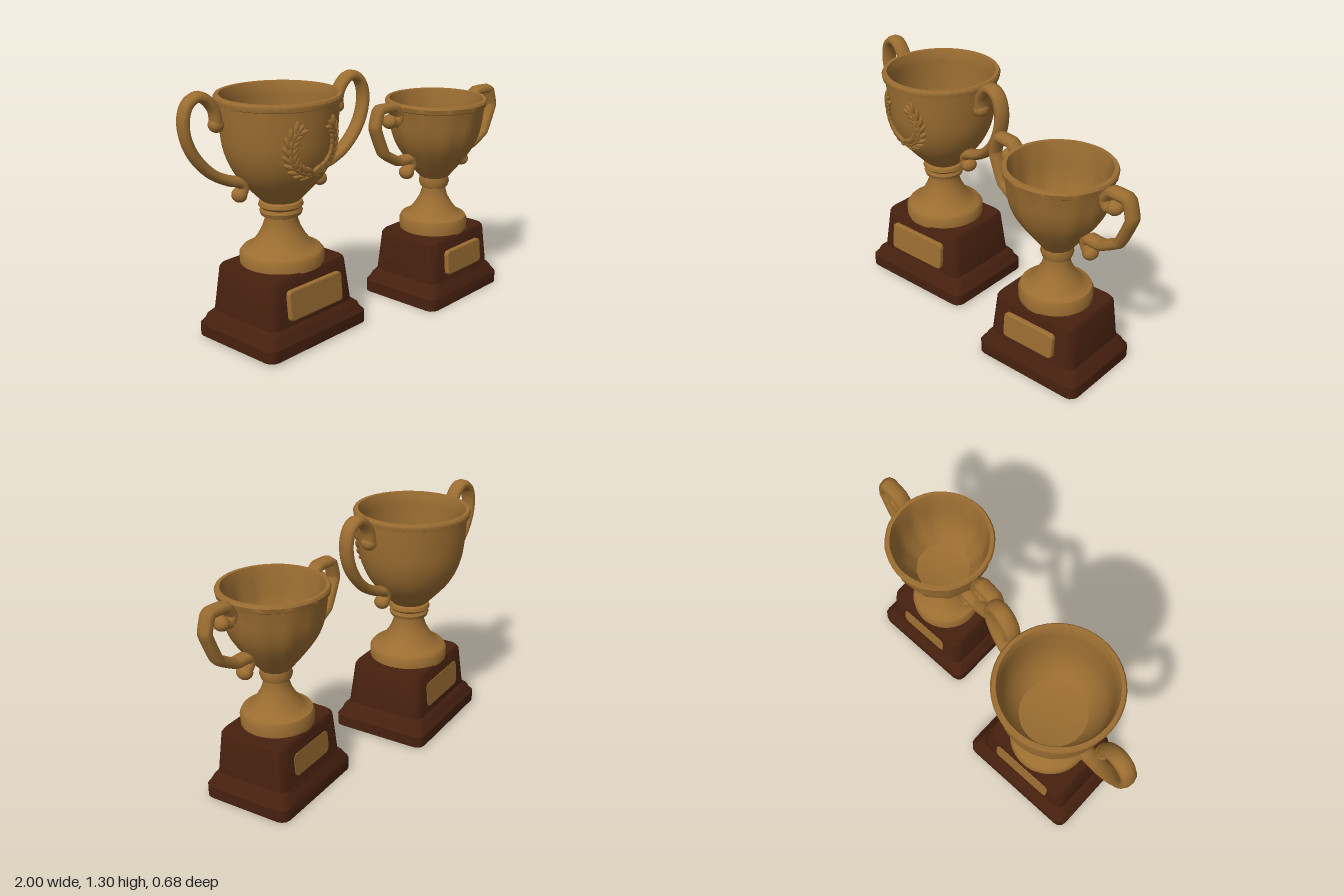
import * as THREE from 'three';
import { toCreasedNormals } from 'three/addons/utils/BufferGeometryUtils.js';

const gold = new THREE.MeshStandardMaterial({ color: 0x9b6d31, side: THREE.DoubleSide });
gold.name = 'antique gold';
const wood = new THREE.MeshStandardMaterial({ color: 0x46200f });
wood.name = 'dark wood';

function add(parent, name, geometry, material = gold) {
  const mesh = new THREE.Mesh(geometry, material);
  mesh.name = name;
  parent.add(mesh);
  return mesh;
}

const vec2 = (list) => list.map(([x, y]) => new THREE.Vector2(x, y));
const lathe = (list) => toCreasedNormals(new THREE.LatheGeometry(vec2(list), 40), 0.7);

// Outer bowl radius at a height, read from a smooth curve
function radiusAt(points, y) {
  let i = 0;
  while (i < points.length - 2 && points[i + 1].y < y) i++;
  const a = points[i], b = points[i + 1];
  return THREE.MathUtils.lerp(a.x, b.x, (y - a.y) / (b.y - a.y));
}

// Hollow bowl with a lip; panels > 0 gives it a many-sided outline
function bowlGeometry(outer, rim, floor, panels) {
  const [r, y] = rim;
  const lip = vec2([[r, y - 0.035], [r + 0.004, y - 0.012], [r - 0.003, y], [r - 0.022, y]]);
  const inner = outer.filter((p) => p.y > floor + 0.02).reverse()
    .map((p) => new THREE.Vector2(p.x - 0.022, p.y));
  const geo = new THREE.LatheGeometry([...outer, ...lip, ...inner, new THREE.Vector2(0.001, floor)], 48);
  if (panels) {
    const pos = geo.attributes.position, step = (2 * Math.PI) / panels;
    for (let i = 0; i < pos.count; i++) {
      const x = pos.getX(i), z = pos.getZ(i), a = Math.atan2(x, z) + 2 * Math.PI;
      const flat = Math.cos(step / 2) / Math.cos((a % step) - step / 2);
      const fade = THREE.MathUtils.clamp((y - pos.getY(i)) / 0.1, 0.15, 1);
      const k = 1 + (flat - 1) * fade;
      pos.setX(i, x * k);
      pos.setZ(i, z * k);
    }
  }
  return toCreasedNormals(geo, 0.7);
}

// Plinth lofted from rounded rectangles given as [y, width, depth]
function plinthGeometry(rings, corner = 0.045) {
  const positions = [], index = [], n = 16;
  for (const [y, w, d] of rings) {
    for (let q = 0; q < 4; q++) {
      for (let s = 0; s < 4; s++) {
        const a = ((q + s / 3) * Math.PI) / 2;
        const sx = q === 0 || q === 3 ? 1 : -1, sz = q < 2 ? 1 : -1;
        positions.push(sx * (w / 2 - corner) + Math.cos(a) * corner, y,
          sz * (d / 2 - corner) + Math.sin(a) * corner);
      }
    }
  }
  for (let k = 0; k < rings.length - 1; k++) {
    for (let i = 0; i < n; i++) {
      const a = k * n + i, b = k * n + ((i + 1) % n);
      index.push(a, a + n, b, b, a + n, b + n);
    }
  }
  const top = (rings.length - 1) * n;
  for (let i = 1; i < n - 1; i++) index.push(0, i, i + 1, top, top + i + 1, top + i);
  const geo = new THREE.BufferGeometry();
  geo.setAttribute('position', new THREE.Float32BufferAttribute(positions, 3));
  geo.setIndex(index);
  geo.computeVertexNormals();
  return toCreasedNormals(geo, 0.6);
}

// Name plate with rounded corners
function plateGeometry(w, h, depth, r, bevel) {
  const s = new THREE.Shape(), x = w / 2 - r, y = h / 2 - r;
  s.absarc(x, y, r, 0, Math.PI / 2);
  s.absarc(-x, y, r, Math.PI / 2, Math.PI);
  s.absarc(-x, -y, r, Math.PI, Math.PI * 1.5);
  s.absarc(x, -y, r, Math.PI * 1.5, Math.PI * 2);
  return new THREE.ExtrudeGeometry(s, { depth, curveSegments: 4, bevelEnabled: bevel > 0,
    bevelSize: bevel, bevelThickness: bevel, bevelOffset: -bevel, bevelSegments: 2 });
}

// Scrolled handle: flattened tube with a ball at each end
function addHandle(parent, name, path, tension, sides, turn) {
  const handle = new THREE.Group();
  handle.name = name;
  handle.rotation.y = turn;
  parent.add(handle);
  const pts = path.map(([x, y]) => new THREE.Vector3(x, y, 0));
  const curve = new THREE.CatmullRomCurve3(pts, false, 'catmullrom', tension);
  const tube = new THREE.TubeGeometry(curve, 60, 0.027, sides);
  add(handle, 'handleArm', tube.scale(1, 1, 1.6));
  for (const p of [pts[0], pts[pts.length - 1]]) {
    add(handle, 'handleScroll', new THREE.SphereGeometry(0.037, 14, 10).scale(1, 1, 1.2)).position.copy(p);
  }
}

// Open wreath of paired leaves lying on the bowl front
function addWreath(parent, outer, cy) {
  const wreath = new THREE.Group();
  wreath.name = 'wreath';
  parent.add(wreath);
  const leafGeo = new THREE.SphereGeometry(1, 8, 6).scale(0.013, 0.036, 0.012);
  const place = (x, y, lift) => {
    const r = radiusAt(outer, y) + lift, phi = x / r;
    return new THREE.Vector3(r * Math.sin(phi), y, r * Math.cos(phi));
  };
  for (const side of [-1, 1]) {
    const stem = [];
    for (let i = 0; i < 9; i++) {
      const a = -1.5 + i * 0.27;
      stem.push(place(side * 0.135 * Math.cos(a), cy + 0.135 * Math.sin(a), 0.004));
      for (const splay of [-1, 0, 1]) {
        const rad = 0.135 + splay * 0.018, b = a + 0.1;
        const x = side * rad * Math.cos(b), y = cy + rad * Math.sin(b);
        const leaf = add(wreath, 'leaf', leafGeo);
        leaf.position.copy(place(x, y, 0.008));
        const slope = (radiusAt(outer, y + 0.02) - radiusAt(outer, y - 0.02)) / 0.04;
        leaf.rotation.set(Math.atan(slope), x / radiusAt(outer, y), side * (b - splay * 0.55), 'YXZ');
      }
    }
    add(wreath, 'wreathStem', new THREE.TubeGeometry(new THREE.CatmullRomCurve3(stem), 24, 0.008, 6));
  }
}

function createTrophy(o) {
  const trophy = new THREE.Group();
  trophy.name = o.name;
  trophy.position.set(o.x, 0, o.z);

  // Wooden plinth with a raised front plate and a flat back plate
  const base = new THREE.Group();
  base.name = 'base';
  base.rotation.y = 0.13;
  trophy.add(base);
  add(base, 'plinth', plinthGeometry(o.plinth), wood);
  const [pw, ph, py] = o.plate, low = o.plinth[4], high = o.plinth[5];
  const t = (py - low[0]) / (high[0] - low[0]);
  const face = THREE.MathUtils.lerp(low[2], high[2], t) / 2;
  const tilt = Math.atan((low[2] - high[2]) / 2 / (high[0] - low[0]));
  const front = add(base, 'frontPlate', plateGeometry(pw, ph, 0.02, 0.022, 0.008));
  front.position.set(0, py, face - 0.004);
  front.rotation.x = -tilt;
  const back = add(base, 'backPlate', plateGeometry(pw * 0.97, ph * 0.9, 0.004, 0.03, 0));
  back.position.set(0, py, -face + 0.001);
  back.rotation.set(tilt, Math.PI, 0, 'XYZ');

  // Foot, collar and bowl
  add(trophy, 'foot', lathe(o.foot));
  add(trophy, 'collar', lathe(o.collar));
  const outer = new THREE.SplineCurve(vec2(o.bowl)).getPoints(24);
  add(trophy, 'bowl', bowlGeometry(outer, o.rim, o.floor, o.panels));
  if (o.wreathY) addWreath(trophy, outer, o.wreathY);

  const handles = new THREE.Group();
  handles.name = 'handles';
  handles.rotation.y = o.handleTurn;
  trophy.add(handles);
  addHandle(handles, 'leftHandle', o.handle, o.tension, o.handleSides, 0);
  addHandle(handles, 'rightHandle', o.handle, o.tension, o.handleSides, Math.PI);
  return trophy;
}

export function createModel() {
  const model = new THREE.Group();
  model.name = 'trophies';
  model.add(createTrophy({
    name: 'largeTrophy', x: -0.46, z: -0.033,
    plinth: [[0.013, 0.69, 0.545], [0.075, 0.69, 0.545], [0.095, 0.655, 0.515], [0.12, 0.635, 0.5],
      [0.145, 0.575, 0.455], [0.37, 0.525, 0.415], [0.387, 0.505, 0.395]],
    plate: [0.37, 0.155, 0.25],
    foot: [[0.212, 0.38], [0.213, 0.435], [0.2, 0.452], [0.178, 0.458], [0.15, 0.48], [0.12, 0.52],
      [0.098, 0.56], [0.084, 0.6], [0.084, 0.64]],
    collar: [[0.08, 0.622], [0.102, 0.632], [0.108, 0.65], [0.1, 0.667], [0.113, 0.68], [0.108, 0.698], [0.09, 0.708]],
    bowl: [[0.09, 0.7], [0.145, 0.755], [0.21, 0.83], [0.25, 0.9], [0.276, 0.98], [0.288, 1.08], [0.295, 1.2]],
    rim: [0.308, 1.24], floor: 0.78, panels: 0, wreathY: 1.025,
    handle: [[0.345, 1.13], [0.355, 1.2], [0.395, 1.255], [0.44, 1.272], [0.49, 1.24], [0.513, 1.165],
      [0.5, 1.07], [0.455, 0.98], [0.38, 0.9], [0.3, 0.855], [0.24, 0.835], [0.215, 0.805], [0.235, 0.77]],
    tension: 0.5, handleSides: 10, handleTurn: -0.06,
  }));
  model.add(createTrophy({
    name: 'smallTrophy', x: 0.526, z: 0.058,
    plinth: [[0, 0.615, 0.49], [0.065, 0.615, 0.49], [0.085, 0.585, 0.465], [0.105, 0.565, 0.45],
      [0.13, 0.52, 0.415], [0.345, 0.485, 0.38], [0.36, 0.465, 0.36]],
    plate: [0.305, 0.135, 0.228],
    foot: [[0.185, 0.355], [0.188, 0.41], [0.178, 0.432], [0.15, 0.44], [0.13, 0.46], [0.1, 0.5],
      [0.077, 0.54], [0.065, 0.58], [0.065, 0.62]],
    collar: [[0.06, 0.592], [0.075, 0.6], [0.083, 0.625], [0.077, 0.655], [0.062, 0.665]],
    bowl: [[0.075, 0.65], [0.125, 0.71], [0.185, 0.79], [0.225, 0.86], [0.25, 0.94], [0.265, 1.05]],
    rim: [0.273, 1.09], floor: 0.73, panels: 12,
    handle: [[0.345, 1.01], [0.305, 1.0], [0.285, 1.035], [0.32, 1.083], [0.42, 1.083], [0.447, 0.99],
      [0.385, 0.845], [0.28, 0.785], [0.2, 0.785], [0.185, 0.755], [0.215, 0.712]],
    tension: 0.15, handleSides: 8, handleTurn: 0.01,
  }));
  return model;
}
